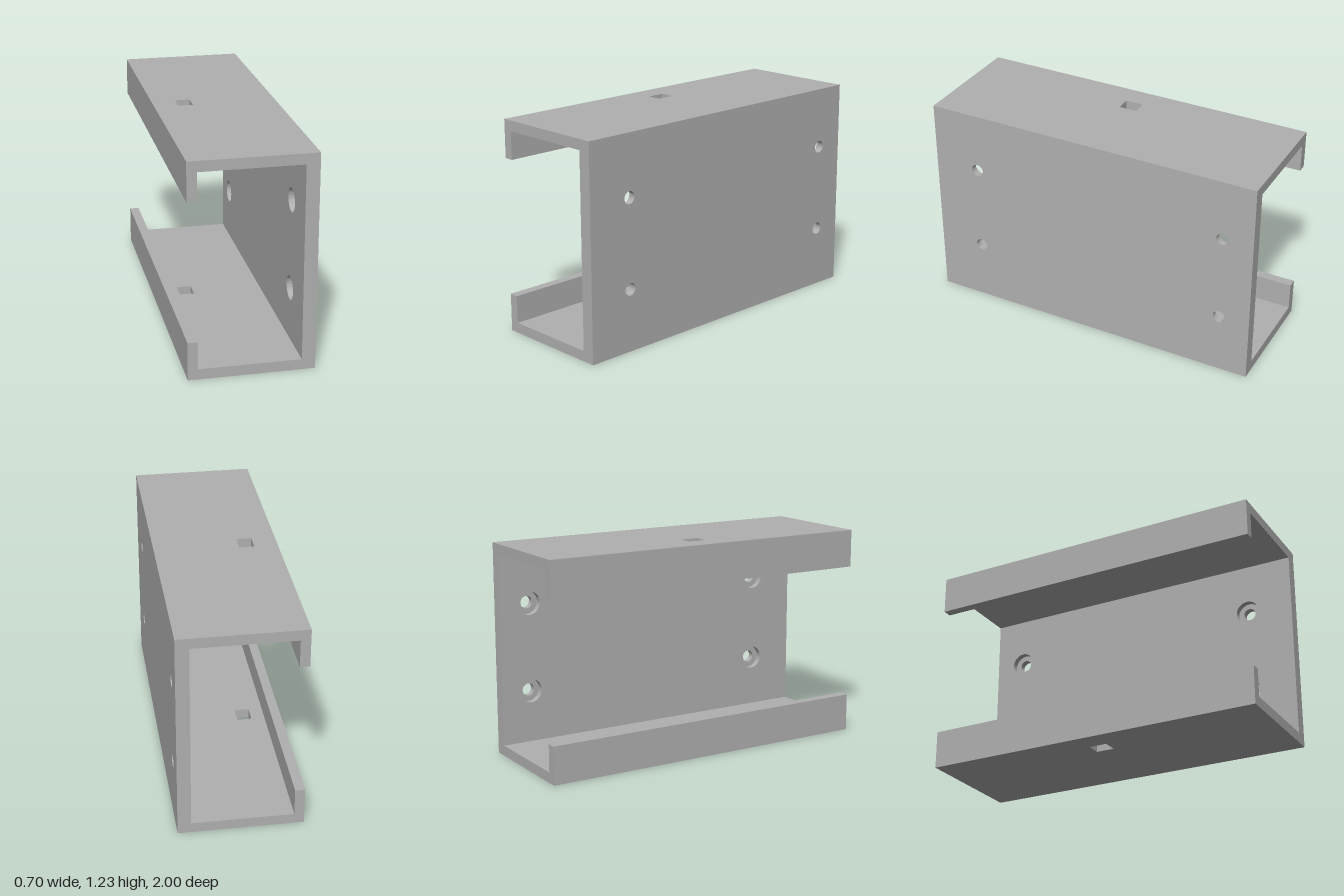
import * as THREE from 'three';
import { toCreasedNormals } from 'three/addons/utils/BufferGeometryUtils.js';

const L = 1;                       // half length along z
const H = 1.23;                    // height
const LEFT = 0.35, WEB = 0.275, BORE = 0.312; // outer face, inner face, bore floor
const T = 0.06;                    // flange thickness
const LIP = 0.22, LIP_T = 0.055;   // lip height and thickness

function rect(u0, u1, v0, v1, Type = THREE.Shape) {
  return new Type([[u0, v0], [u1, v0], [u1, v1], [u0, v1]].map(p => new THREE.Vector2(...p)));
}

function plate(shape, depth) {
  const g = new THREE.ExtrudeGeometry(shape, { depth, bevelEnabled: false, curveSegments: 32 });
  return toCreasedNormals(g, 0.6);
}

export function createModel() {
  const group = new THREE.Group();
  const grey = new THREE.MeshStandardMaterial({ color: 0xb0b0b0 });
  grey.name = 'plain grey';
  const add = (name, geometry) => {
    const mesh = new THREE.Mesh(geometry, grey);
    mesh.name = name;
    group.add(mesh);
  };

  // Side wall in two layers: small screw holes outside, wide counterbores inside
  const wall = (name, x0, x1, radius) => {
    const shape = rect(-L, L, 0, H);
    for (const z of [0.725, -0.82]) {
      for (const y of [0.36, 0.875]) {
        shape.holes.push(new THREE.Path().absarc(-z, y, radius, 0, Math.PI * 2, true));
      }
    }
    add(name, plate(shape, x1 - x0).rotateY(Math.PI / 2).translate(x0, 0, 0));
  };
  wall('wallOuterLayer', BORE, LEFT, 0.036);
  wall('wallInnerLayer', WEB, BORE, 0.068);

  // Flanges with a rectangular slot, and the lips along their free edges
  for (const [side, flangeY, lipY] of [['bottom', 0, T], ['top', H - T, H - LIP]]) {
    const shape = rect(-LEFT, WEB, -L, L);
    shape.holes.push(rect(-0.215, -0.13, -0.05, 0.055, THREE.Path));
    add(side + 'Flange', plate(shape, T).rotateX(-Math.PI / 2).translate(0, flangeY, 0));

    const lipH = LIP - T;
    const lip = new THREE.BoxGeometry(LIP_T, lipH, 2 * L);
    add(side + 'Lip', lip.translate(-LEFT + LIP_T / 2, lipY + lipH / 2, 0));
  }
  return group;
}
